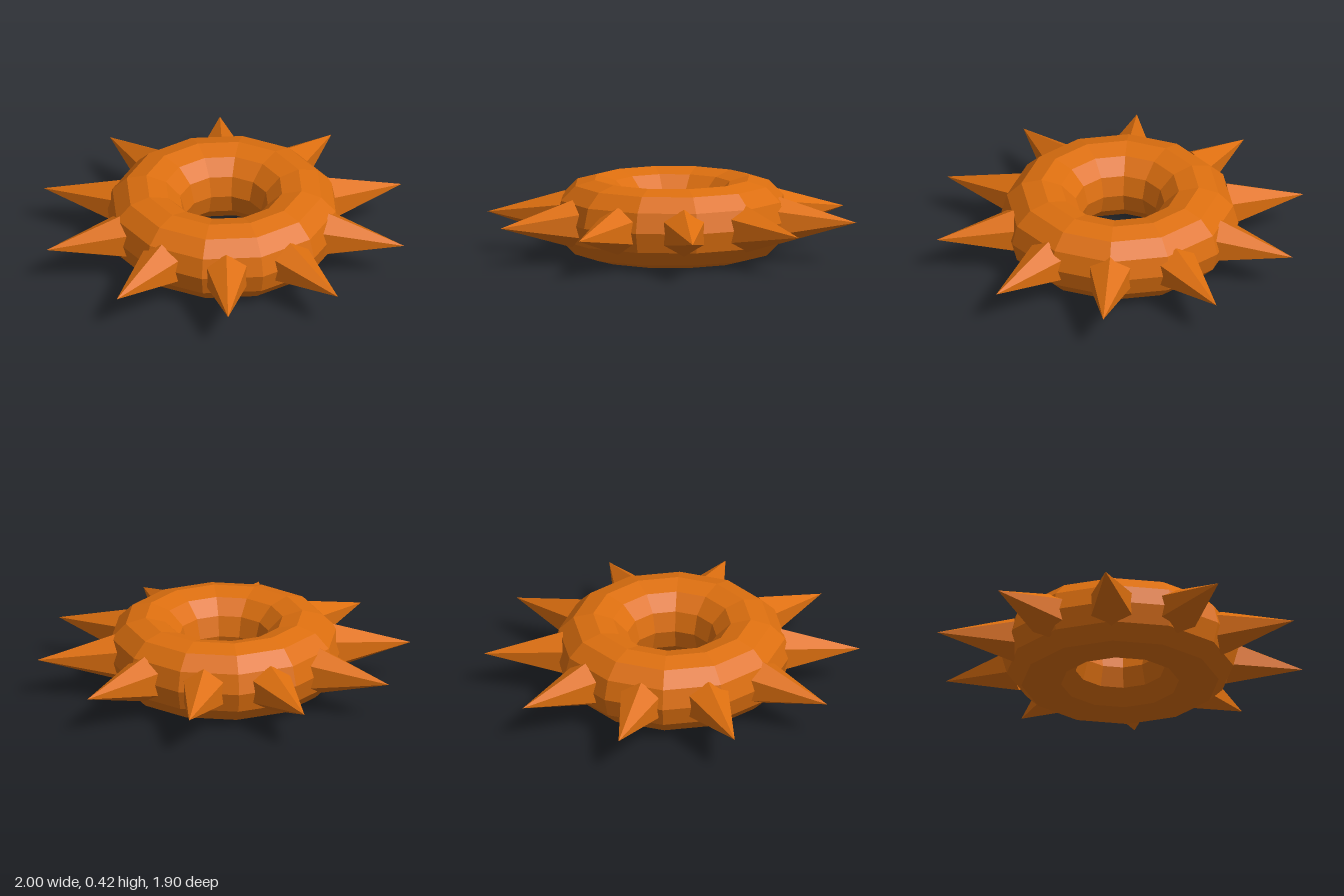
import * as THREE from 'three';

const RING_RADIUS = 0.42, TUBE_RADIUS = 0.212;
const SPIKE_COUNT = 10, SPIKE_RADIUS = 0.127, SPIKE_LENGTH = 0.42, TIP_RADIUS = 1;

export function createModel() {
  const model = new THREE.Group();
  model.name = 'spikedRing';
  const material = new THREE.MeshStandardMaterial({ color: 0xdd6f0f, flatShading: true });

  // Faceted ring lying flat
  const ringGeometry = new THREE.TorusGeometry(RING_RADIUS, TUBE_RADIUS, 12, 12);
  ringGeometry.rotateX(-Math.PI / 2);
  const ring = new THREE.Mesh(ringGeometry, material);
  ring.name = 'ring';
  ring.position.y = TUBE_RADIUS;
  model.add(ring);

  // Six-sided spike pointing along +x, with one edge on top
  const spikeGeometry = new THREE.ConeGeometry(SPIKE_RADIUS, SPIKE_LENGTH, 6);
  spikeGeometry.rotateY(Math.PI / 2);
  spikeGeometry.rotateZ(-Math.PI / 2);
  spikeGeometry.translate(TIP_RADIUS - SPIKE_LENGTH / 2, 0, 0);

  // Spikes spread evenly around the rim
  const spikes = new THREE.Group();
  spikes.name = 'spikes';
  spikes.position.y = TUBE_RADIUS;
  for (let i = 0; i < SPIKE_COUNT; i++) {
    const spike = new THREE.Mesh(spikeGeometry, material);
    spike.name = `spike${i + 1}`;
    spike.rotation.y = (i / SPIKE_COUNT) * Math.PI * 2;
    spikes.add(spike);
  }
  model.add(spikes);

  return model;
}
